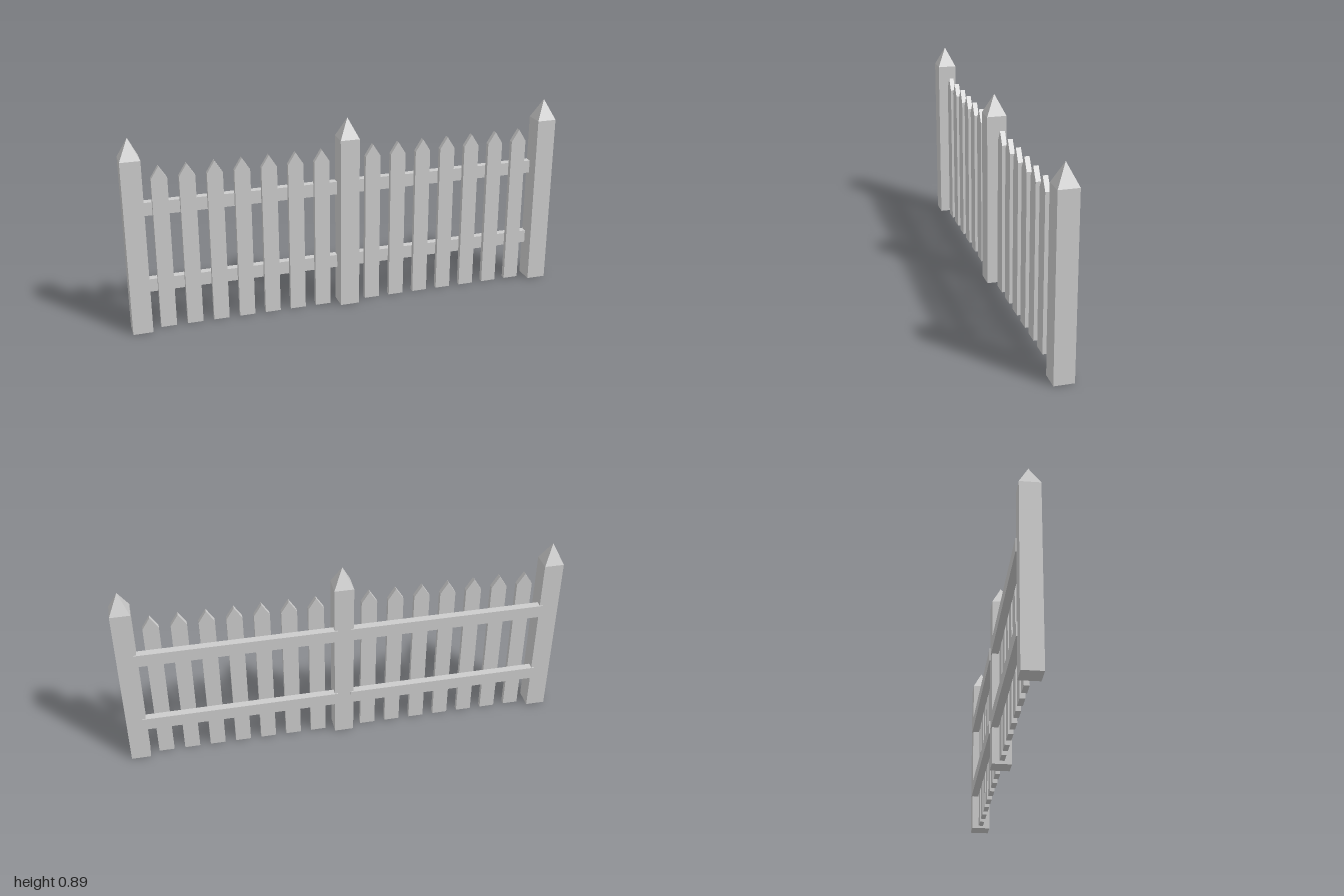
import * as THREE from 'three';

const material = new THREE.MeshStandardMaterial({ color: 0xcccccc, flatShading: true });

const BAY = 0.956;        // distance between post centres
const POST_W = 0.088;
const POST_Z = 0.003;

function addMesh(parent, name, geometry, x, y, z) {
  const mesh = new THREE.Mesh(geometry, material);
  mesh.name = name;
  mesh.position.set(x, y, z);
  parent.add(mesh);
}

// Square post closed by a four-sided pyramid point
function createPost(x) {
  const post = new THREE.Group();
  post.name = 'post';
  const shaft = new THREE.CylinderGeometry(POST_W / Math.SQRT2, POST_W / Math.SQRT2, 0.8, 4, 1, false);
  const point = new THREE.ConeGeometry(POST_W / Math.SQRT2, 0.092, 4, 1, true);
  shaft.rotateY(Math.PI / 4);
  point.rotateY(Math.PI / 4);
  addMesh(post, 'postShaft', shaft, 0, 0.4, 0);
  addMesh(post, 'postPoint', point, 0, 0.846, 0);
  post.position.set(x, 0, POST_Z);
  return post;
}

// Flat board with a gabled top
function picketGeometry() {
  const w = 0.035;
  const outline = new THREE.Shape([
    new THREE.Vector2(-w, 0),
    new THREE.Vector2(w, 0),
    new THREE.Vector2(w, 0.7),
    new THREE.Vector2(0, 0.756),
    new THREE.Vector2(-w, 0.7),
  ]);
  return new THREE.ExtrudeGeometry(outline, { depth: 0.022, bevelEnabled: false });
}

export function createModel() {
  const fence = new THREE.Group();
  fence.name = 'picketFence';

  for (const i of [-1, 0, 1]) fence.add(createPost(i * BAY));

  const picket = picketGeometry();
  const rail = new THREE.BoxGeometry(0.896, 0.06, 0.034);

  for (const side of [-1, 1]) {
    const bay = new THREE.Group();
    bay.name = side < 0 ? 'rightBay' : 'leftBay';

    // Seven evenly spaced pickets between the posts
    for (let i = 1; i <= 7; i++) {
      addMesh(bay, 'picket', picket, side * i * BAY / 8, 0, -0.012);
    }

    // Two rails behind the pickets, let into the backs of the posts
    for (const y of [0.2, 0.56]) addMesh(bay, 'rail', rail, side * BAY / 2, y, -0.029);
    fence.add(bay);
  }

  return fence;
}
